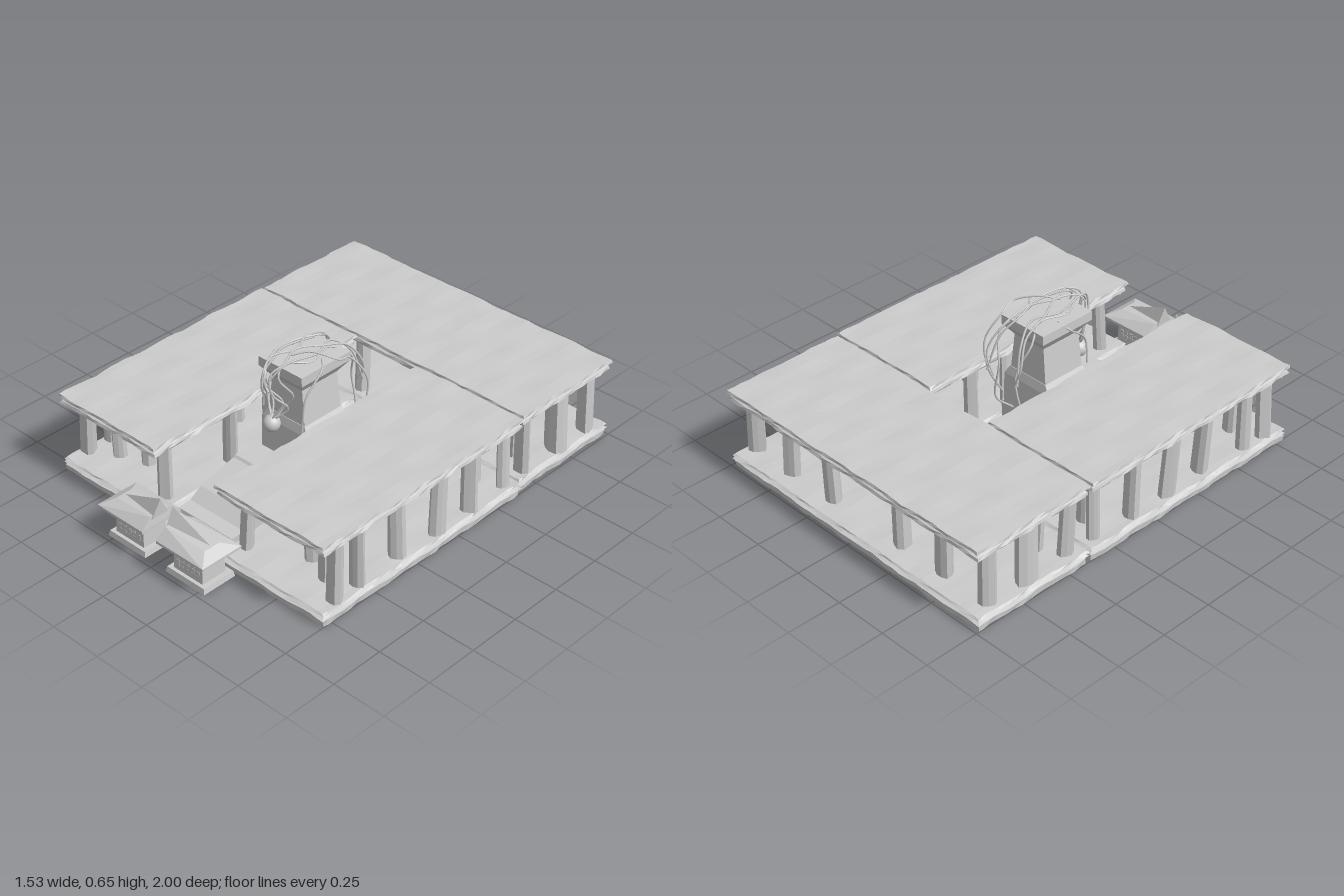
import * as THREE from 'three';
import { ConvexGeometry } from 'three/addons/geometries/ConvexGeometry.js';

const stone = new THREE.MeshStandardMaterial({ color: 0xcccccc, flatShading: true, side: THREE.DoubleSide });
const smooth = new THREE.MeshStandardMaterial({ color: 0xcccccc });

function add(parent, name, geometry, material = stone) {
  const mesh = new THREE.Mesh(geometry, material);
  mesh.name = name;
  parent.add(mesh);
  return mesh;
}

function seeded(seed) {
  return () => (seed = (seed * 16807) % 2147483647) / 2147483647;
}

// Smooth weathering wobble that depends only on position
const wobble = (a, b) => 0.5 * Math.sin(a * 23 + b * 57) + 0.3 * Math.sin(a * 51 - b * 31 + 1) + 0.2 * Math.sin(a * 90 + b * 13);

// Ragged layered slab; levels are [y, inset] pairs from bottom to top
function slab(x0, x1, z0, z1, levels) {
  const w = x1 - x0, d = z1 - z0, n = levels.length - 1;
  const geo = new THREE.BoxGeometry(w, 1, d, Math.round(w * 24), n, Math.round(d * 24));
  const p = geo.attributes.position;
  const cx = (x0 + x1) / 2, cz = (z0 + z1) / 2;
  for (let i = 0; i < p.count; i++) {
    const x = p.getX(i), z = p.getZ(i);
    const [y, inset] = levels[Math.round((p.getY(i) + 0.5) * n)];
    const gx = x + cx, gz = z + cz;
    const onX = Math.abs(Math.abs(x) - w / 2) < 1e-4, onZ = Math.abs(Math.abs(z) - d / 2) < 1e-4;
    const ex = onX ? Math.sign(x) * (inset + 0.006 * (1 + wobble(gz, y * 9 + x))) : 0;
    const ez = onZ ? Math.sign(z) * (inset + 0.005 * (1 + wobble(gx, y * 9 + z))) : 0;
    const lift = y > 0.01 ? 0.004 * wobble(gx * 0.5, gz * 0.4) : 0;
    p.setXYZ(i, gx - ex, y + lift, gz - ez);
  }
  geo.computeVertexNormals();
  return geo;
}

const floorLevels = [[0.005, 0.008], [0.03, 0.006], [0.034, 0.02], [0.043, 0], [0.05, 0.016], [0.06, 0], [0.067, 0.008]];
const roofLevels = [[0.325, 0.025], [0.338, 0.018], [0.345, 0.004], [0.358, 0.008], [0.365, 0.02], [0.376, 0], [0.388, 0.003]];

// Irregular faceted column
function column(parent, x, z, r, rand) {
  const geo = new THREE.CylinderGeometry(r * 0.95, r, 0.28, 9, 1);
  const p = geo.attributes.position;
  const turn = rand() * 6, amount = 0.08 + rand() * 0.1;
  const leanX = (rand() - 0.5) * 0.012, leanZ = (rand() - 0.5) * 0.012;
  for (let i = 0; i < p.count; i++) {
    const px = p.getX(i), pz = p.getZ(i), side = Math.sign(p.getY(i));
    const k = 1 + amount * Math.sin(3 * Math.atan2(pz, px) + turn);
    p.setX(i, px * k + leanX * side);
    p.setZ(i, pz * k + leanZ * side);
  }
  add(parent, 'column', geo).position.set(x, 0.198, z);
}

function wing(name, x0, x1, z0, z1, columns, seed) {
  const g = new THREE.Group();
  g.name = name;
  add(g, 'wingFloor', slab(x0, x1, z0, z1, floorLevels));
  add(g, 'wingRoof', slab(x0, x1, z0, z1, roofLevels));
  const rand = seeded(seed);
  columns.forEach(([x, z, r]) => column(g, x, z, r, rand));
  return g;
}

// Four-sided tapering block standing on y
function block(w0, d0, w1, d1, h, x, y, z) {
  const geo = new THREE.BoxGeometry(1, h, 1);
  const p = geo.attributes.position;
  for (let i = 0; i < p.count; i++) {
    const top = p.getY(i) > 0;
    p.setX(i, p.getX(i) * (top ? w1 : w0));
    p.setZ(i, p.getZ(i) * (top ? d1 : d0));
  }
  geo.computeVertexNormals();
  return geo.translate(x, y + h / 2, z);
}

function points(list, s = 1) {
  return list.map(([x, y, z]) => new THREE.Vector3(x * s, y, z));
}

function cable(parent, list, side = 1) {
  const path = new THREE.CatmullRomCurve3(points(list, side));
  add(parent, 'cable', new THREE.TubeGeometry(path, 48, 0.0045, 6), smooth);
}

// Gatehouse on side s, with bars, small windows and a hipped roof peaking inwards
function gatehouse(s) {
  const g = new THREE.Group();
  g.name = s > 0 ? 'leftGatehouse' : 'rightGatehouse';
  add(g, 'gatePlinth', block(0.22, 0.17, 0.21, 0.16, 0.025, s * 0.17, 0.005, 0.89));
  add(g, 'gateBody', block(0.165, 0.125, 0.155, 0.115, 0.12, s * 0.17, 0.028, 0.892));
  for (let c = 0; c < 5; c++) for (let r = 0; r < 4; r++) {
    for (const z of [0.834, 0.95])
      add(g, 'gateWindow', new THREE.BoxGeometry(0.016, 0.013, 0.008)).position.set(s * (0.114 + c * 0.028), 0.053 + r * 0.021, z);
  }
  const eave = [];
  for (const z of [0.79, 1.0]) for (const x of [0.04, 0.305]) eave.push([x, 0.148, z], [x, 0.16, z]);
  const shoulder = [[0.255, 0.188, 0.86], [0.255, 0.188, 0.94], [0.045, 0.205, 0.85], [0.045, 0.205, 0.95]];
  add(g, 'gateEaves', new ConvexGeometry(points([...eave, ...shoulder], s)));
  add(g, 'gateRoofPeak', new ConvexGeometry(points([[0.255, 0.185, 0.9], [0.04, 0.19, 0.86], [0.04, 0.19, 0.945], [0.035, 0.272, 0.9]], s)));
  return g;
}

export function createModel() {
  const model = new THREE.Group();
  model.name = 'pavilion';

  // Side wings and rear wing
  const sideColumns = [
    [0.715, 0.69, 0.034], [0.6, 0.625, 0.03], [0.475, 0.565, 0.038], [0.715, 0.565, 0.032], [0.7, 0.325, 0.036],
    [0.715, 0.1, 0.036], [0.71, -0.105, 0.034], [0.7, -0.325, 0.028], [0.6, -0.27, 0.026],
    [0.24, 0.69, 0.03], [0.23, 0.325, 0.032], [0.23, 0.1, 0.03], [0.23, -0.105, 0.03], [0.46, -0.3, 0.045], [0.44, 0.09, 0.035]];
  const mirrored = sideColumns.map(([x, z, r]) => [-x, z, r]);
  model.add(wing('leftWing', 0.165, 0.762, -0.392, 0.805, sideColumns, 11));
  model.add(wing('rightWing', -0.765, -0.17, -0.392, 0.805, mirrored, 29));
  const rearColumns = [];
  for (const x of [0.695, 0.46, 0.21]) for (const s of [-1, 1])
    rearColumns.push([s * x, -0.89, 0.037], [s * x, -0.465, 0.034]);
  rearColumns.push([0.69, -0.695, 0.05], [-0.7, -0.695, 0.045], [0.6, -0.52, 0.025], [-0.6, -0.52, 0.025]);
  model.add(wing('rearWing', -0.762, 0.748, -0.998, -0.392, rearColumns, 47));

  // Stepped approach between the wings
  const stepShape = new THREE.Shape([[0.8, 0.005], [0.8, 0.03], [0.7, 0.04], [0.695, 0.055], [0.63, 0.06], [0.57, 0.1],
    [0.38, 0.145], [0.37, 0.155], [0.0, 0.155], [-0.0, 0.06], [-0.08, 0.05], [-0.08, 0.005]].map(([z, y]) => new THREE.Vector2(z, y)));
  const steps = new THREE.ExtrudeGeometry(stepShape, { depth: 0.31, bevelEnabled: false });
  add(model, 'approachSteps', steps.rotateY(-Math.PI / 2).translate(0.15, 0, 0));

  // Pedestal
  const pedestal = new THREE.Group();
  pedestal.name = 'pedestal';
  [[0.26, 0.25, 0.26, 0.24, 0.155, 0.15], [0.26, 0.24, 0.21, 0.22, 0.04, 0.305], [0.205, 0.215, 0.17, 0.205, 0.17, 0.34],
    [0.17, 0.205, 0.245, 0.285, 0.052, 0.51], [0.245, 0.285, 0.245, 0.285, 0.043, 0.562]].forEach(([w0, d0, w1, d1, h, y]) =>
    add(pedestal, 'pedestalTier', block(w0, d0, w1, d1, h, 0, y, 0.118)));
  model.add(pedestal);

  // Hanging orb
  add(model, 'orb', new THREE.SphereGeometry(0.038, 24, 16), smooth).position.set(-0.008, 0.352, 0.305);

  // Cables looping from the orb over the pedestal and down behind
  const cables = new THREE.Group();
  cables.name = 'cables';
  for (const s of [-1, 1]) {
    cable(cables, [[0.01, 0.38, 0.3], [0.06, 0.44, 0.275], [0.03, 0.52, 0.335], [0.02, 0.61, 0.335], [0.05, 0.645, 0.25],
      [0.07, 0.635, 0.12], [0.03, 0.63, 0], [0.06, 0.56, -0.09], [0.09, 0.4, -0.14]], s);
    cable(cables, [[0.01, 0.38, 0.3], [0.03, 0.43, 0.27], [0.075, 0.5, 0.26], [0.04, 0.59, 0.31], [0.03, 0.635, 0.27],
      [0.08, 0.62, 0.16], [0.05, 0.62, 0.03], [0.09, 0.56, -0.06], [0.05, 0.42, -0.11], [0.08, 0.25, -0.1], [0.06, 0.17, -0.02]], s);
    cable(cables, [[0.005, 0.385, 0.31], [0.045, 0.47, 0.29], [0.01, 0.56, 0.34], [0.04, 0.64, 0.28],
      [0.0, 0.65, 0.17], [0.05, 0.64, 0.06], [0.07, 0.59, -0.07], [0.1, 0.48, -0.13], [0.06, 0.38, -0.13]], s);
  }
  cable(cables, [[0.0, 0.635, 0.2], [0.06, 0.65, 0.14], [0.15, 0.62, 0.07], [0.14, 0.595, 0.0], [0.175, 0.48, -0.07], [0.165, 0.33, -0.06], [0.14, 0.2, 0.0]]);
  cable(cables, [[0.08, 0.61, 0.1], [0.13, 0.6, 0.15], [0.125, 0.5, 0.24], [0.115, 0.38, 0.25], [0.12, 0.2, 0.26]]);
  cable(cables, [[-0.08, 0.61, 0.1], [-0.128, 0.58, 0.12], [-0.115, 0.48, 0.23], [-0.12, 0.36, 0.24]]);
  model.add(cables);

  // Paired gatehouses
  model.add(gatehouse(1), gatehouse(-1));
  return model;
}
